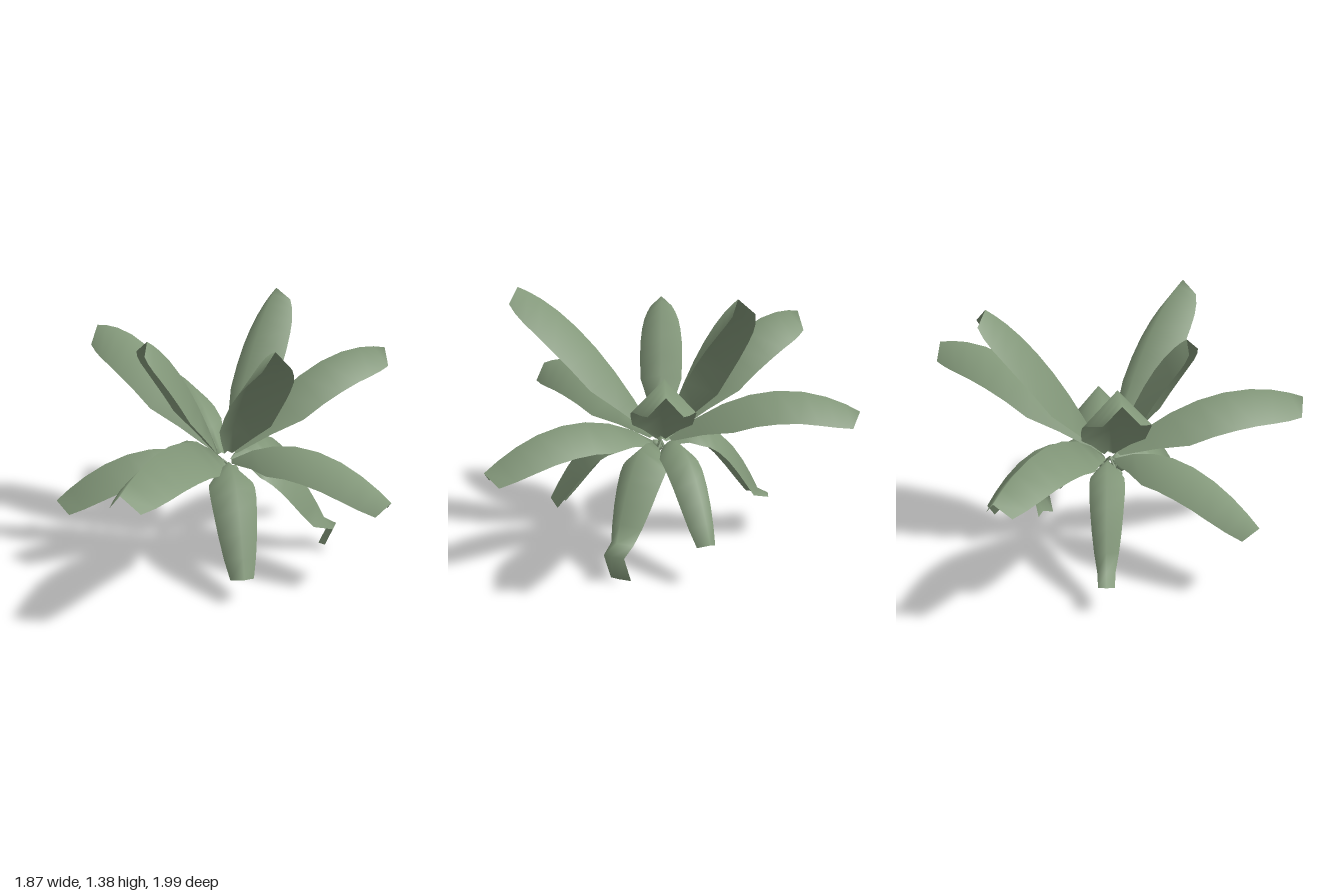
import * as THREE from 'three';

const material = new THREE.MeshStandardMaterial({ color: 0x83987a, side: THREE.DoubleSide });
const CENTRE = new THREE.Vector3(-0.04, 0.57, -0.07);

// [tip x, y, z, arch height, half width, then any points of a bent end]
const LEAVES = [
  [-0.13, 1.385, -0.66, 0.10, 0.135],
  [0.57, 1.355, 0.36, 0.12, 0.14],
  [-0.235, 1.26, 0.31, 0.10, 0.115],
  [-0.91, 1.18, -0.02, 0.18, 0.16],
  [0.40, 1.06, -0.98, 0.175, 0.15],
  [0.21, 0.79, 1.00, 0.16, 0.16],
  [-0.93, 0.74, -0.58, 0.175, 0.14],
  [0.935, 0.55, -0.13, 0.17, 0.135],
  [-0.595, 0.42, 0.65, 0.16, 0.135],
  [-0.64, 0.21, -0.09, 0.20, 0.09, [-0.71, 0.17, -0.09]],
  [0.42, 0.17, 0.37, 0.22, 0.12],
  [0.03, 0.24, -0.73, 0.205, 0.095],
  [0.38, 0.2, -0.43, 0.19, 0.12, [0.43, 0.16, -0.48], [0.38, 0.02, -0.45]],
];

// Position along the midrib and relative half width
const PROFILE = [
  [0, 0.15], [0.14, 0.6], [0.28, 0.96], [0.42, 1], [0.56, 0.99],
  [0.7, 0.92], [0.82, 0.82], [0.92, 0.68], [1, 0.5],
];

// An arching blade folded along its midrib, the fold tightening towards the tip
function makeLeaf([x, y, z, arch, width, ...bends]) {
  const tip = new THREE.Vector3(x, y, z);
  const out = tip.clone().sub(CENTRE);
  const flat = new THREE.Vector3(out.x, 0, out.z).normalize();
  const base = CENTRE.clone().addScaledVector(flat, 0.045);
  base.y += out.y * 0.07;
  const control = base.clone().lerp(tip, 0.5);
  control.y += arch * 2;
  const rib = new THREE.QuadraticBezierCurve3(base, control, tip);
  const side = new THREE.Vector3(flat.z, 0, -flat.x);

  const rows = PROFILE.map(([t, w]) => ({
    p: rib.getPoint(t),
    up: rib.getTangent(t).cross(side),
    w: w * width,
    drop: w * width * (0.92 + 0.28 * t * t),
  }));
  const up = rows[rows.length - 1].up;
  for (const point of bends) {
    rows.push({ p: new THREE.Vector3(...point), up, w: width * 0.45, drop: width * 0.25 });
  }

  const positions = [], index = [];
  rows.forEach((row, i) => {
    for (const s of [-1, 0, 1]) {
      const v = row.p.clone().addScaledVector(side, s * row.w).addScaledVector(row.up, -Math.abs(s) * row.drop);
      positions.push(v.x, v.y, v.z);
    }
    if (i === 0) return;
    for (let j = 0; j < 2; j++) {
      const a = (i - 1) * 3 + j, b = a + 3;
      index.push(a, b, a + 1, a + 1, b, b + 1);
    }
  });
  const geometry = new THREE.BufferGeometry();
  geometry.setAttribute('position', new THREE.Float32BufferAttribute(positions, 3));
  geometry.setIndex(index);
  geometry.computeVertexNormals();
  return new THREE.Mesh(geometry, material);
}

export function createModel() {
  const group = new THREE.Group();

  LEAVES.forEach((spec, i) => {
    const leaf = makeLeaf(spec);
    leaf.name = `leaf${i + 1}`;
    group.add(leaf);
  });

  // Small cluster of fruit hanging under the crown on thin stalks
  const fruitCluster = new THREE.Group();
  fruitCluster.name = 'fruitCluster';
  const top = new THREE.Vector3(-0.05, 0.56, -0.06);
  const ball = new THREE.SphereGeometry(0.025, 8, 6);
  const fruits = [[-0.1, 0.485, -0.02], [-0.06, 0.51, 0], [-0.03, 0.535, -0.03], [0.01, 0.49, -0.03], [-0.06, 0.49, -0.09], [0, 0.5, -0.1]];
  for (const f of fruits) {
    const end = new THREE.Vector3(...f);
    const fruit = new THREE.Mesh(ball, material);
    fruit.name = 'fruit';
    fruit.position.copy(end);
    const stalk = new THREE.Mesh(new THREE.TubeGeometry(new THREE.LineCurve3(top, end), 1, 0.006, 5), material);
    stalk.name = 'fruitStalk';
    fruitCluster.add(fruit, stalk);
  }
  group.add(fruitCluster);
  return group;
}
